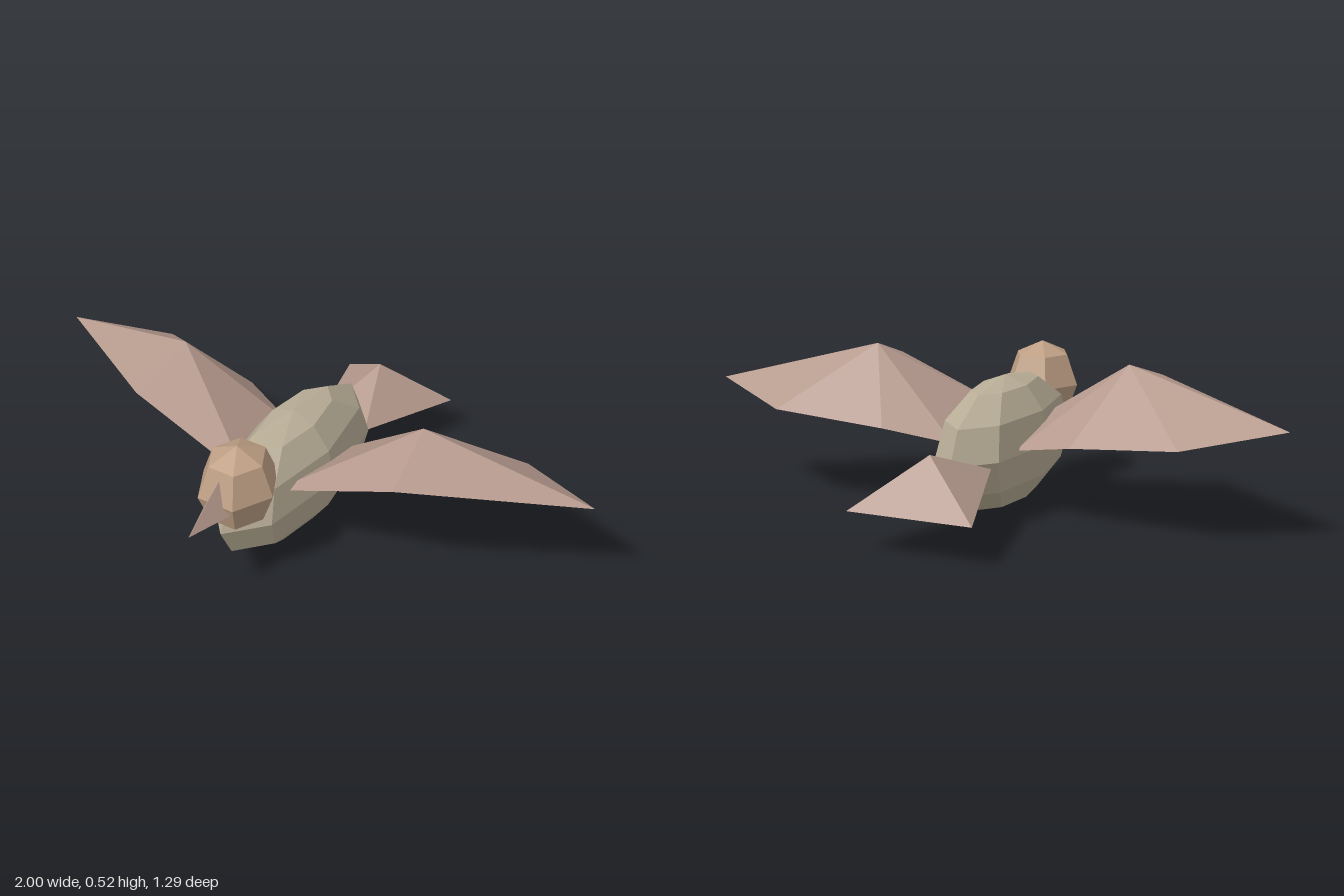
import * as THREE from 'three';
import { ConvexGeometry } from 'three/addons/geometries/ConvexGeometry.js';

const paint = (color) => new THREE.MeshStandardMaterial({ color, flatShading: true });
const bodyPaint = paint(0xb8ad96);
const headPaint = paint(0xbe9f84);
const featherPaint = paint(0xb69a8e);

// Low-poly ellipsoid
function ellipsoid(name, radii, position, sides, rings, material) {
  const geometry = new THREE.SphereGeometry(1, sides, rings);
  geometry.scale(...radii);
  const mesh = new THREE.Mesh(geometry, material);
  mesh.name = name;
  mesh.position.set(...position);
  return mesh;
}

// Convex faceted solid from its corners
function hull(name, corners, material) {
  const geometry = new ConvexGeometry(corners.map((c) => new THREE.Vector3(...c)));
  const mesh = new THREE.Mesh(geometry, material);
  mesh.name = name;
  return mesh;
}

// Wing: an outline in order round the edge, raised to one ridge point on top
function wing(name, side) {
  const ridge = [0.45, 0.52, 0.015];
  const outline = [
    [0.48, 0.445, 0.255], // leading corner
    [1.0, 0.375, -0.08], // tip
    [0.7, 0.32, -0.24],
    [0.33, 0.28, -0.19],
    [0.11, 0.232, -0.11], // rear root
    [0.05, 0.267, 0.255], // front root
  ];
  const positions = [];
  const triangle = (a, b, c) => {
    const order = side > 0 ? [a, b, c] : [a, c, b];
    for (const [x, y, z] of order) positions.push(x * side, y, z);
  };
  const n = outline.length;
  for (let i = 0; i < n; i++) triangle(ridge, outline[i], outline[(i + 1) % n]);
  for (let i = 1; i < n - 1; i++) triangle(outline[0], outline[i + 1], outline[i]);

  const geometry = new THREE.BufferGeometry();
  geometry.setAttribute('position', new THREE.Float32BufferAttribute(positions, 3));
  geometry.computeVertexNormals();
  const mesh = new THREE.Mesh(geometry, featherPaint);
  mesh.name = name;
  return mesh;
}

export function createModel() {
  const bird = new THREE.Group();
  bird.name = 'bird';

  bird.add(ellipsoid('body', [0.157, 0.22, 0.42], [0, 0.222, 0.06], 8, 6, bodyPaint));
  bird.add(ellipsoid('head', [0.13, 0.147, 0.145], [0, 0.355, 0.377], 6, 4, headPaint));

  // Beak: sloping three-sided point
  bird.add(hull('beak', [
    [0, 0.43, 0.475], [-0.05, 0.325, 0.485], [0.05, 0.325, 0.485], [0, 0.325, 0.645],
  ], featherPaint));

  bird.add(wing('leftWing', 1), wing('rightWing', -1));

  // Tail: flared wedge with a raised centre point
  bird.add(hull('tail', [
    [-0.09, 0.203, -0.25], [0.09, 0.203, -0.25],
    [-0.21, 0.135, -0.648], [0.21, 0.135, -0.648], [0, 0.298, -0.5],
  ], featherPaint));

  return bird;
}
